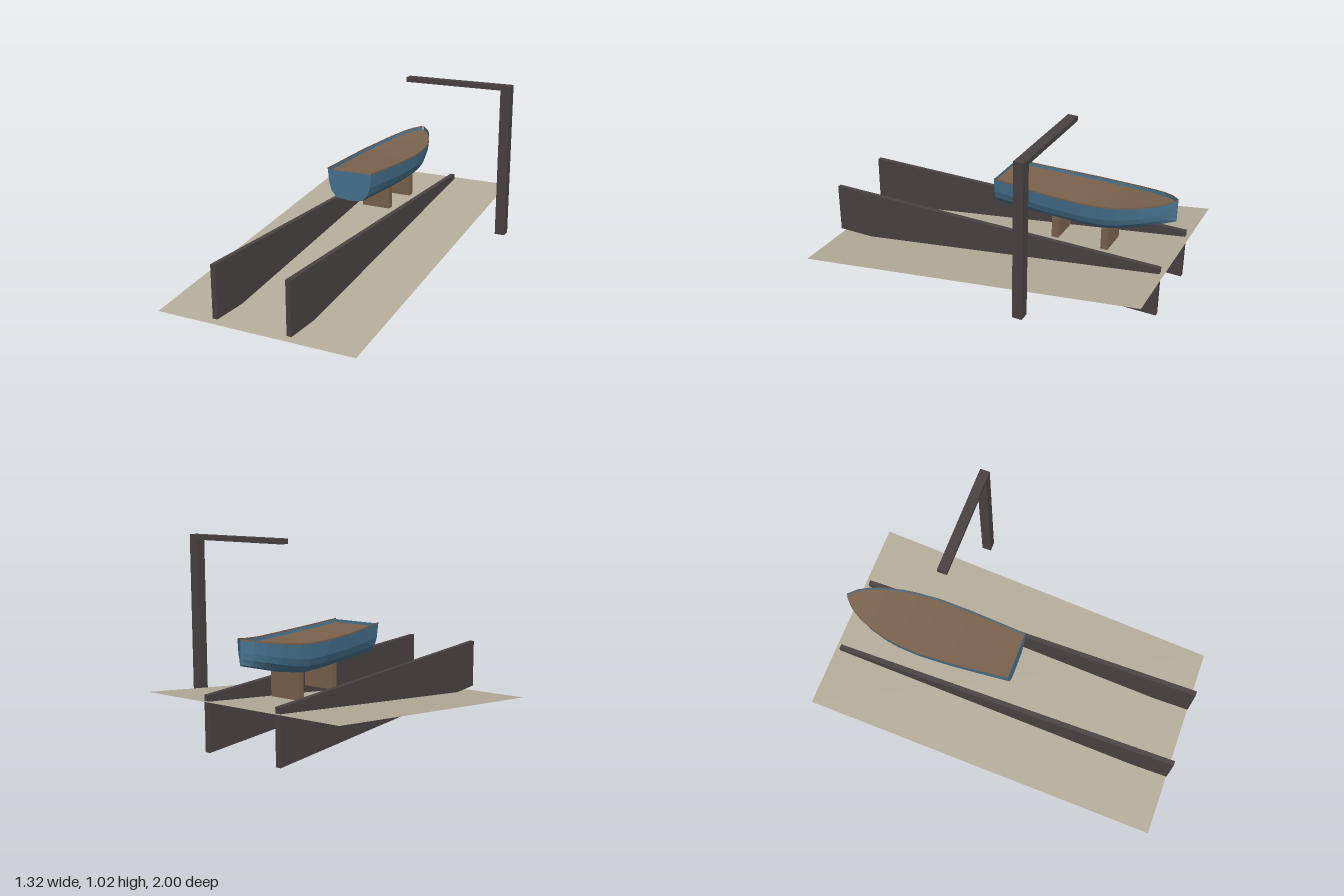
import * as THREE from 'three';

const mat = (name, color, extra = {}) => new THREE.MeshStandardMaterial({ name, color, ...extra });

// Grid of points [row][column] -> flat-shaded sheet
function sheet(rows) {
  const pos = [], index = [], n = rows[0].length;
  rows.forEach(row => row.forEach(p => pos.push(...p)));
  for (let i = 0; i < rows.length - 1; i++) {
    for (let j = 0; j < n - 1; j++) {
      const a = i * n + j, b = a + 1, c = a + n, d = c + 1;
      index.push(a, c, b, b, c, d);
    }
  }
  const g = new THREE.BufferGeometry();
  g.setAttribute('position', new THREE.Float32BufferAttribute(pos, 3));
  g.setIndex(index);
  const flat = g.toNonIndexed();
  flat.computeVertexNormals();
  return flat;
}

export function createModel() {
  const group = new THREE.Group();
  const open = { side: THREE.DoubleSide, flatShading: true };
  const concrete = mat('concrete', 0xb5ac9a, open);
  const darkSteel = mat('darkSteel', 0x4a4242);
  const wood = mat('wood', 0x7a624c, open);
  const hullBlue = mat('hullBlue', 0x477390, open);

  const add = (name, geometry, material, parent = group) => {
    const m = new THREE.Mesh(geometry, material);
    m.name = name;
    parent.add(m);
    return m;
  };
  // Box given by its two extreme corners
  const box = (name, material, [x0, y0, z0], [x1, y1, z1]) =>
    add(name, new THREE.BoxGeometry(x1 - x0, y1 - y0, z1 - z0), material)
      .position.set((x0 + x1) / 2, (y0 + y1) / 2, (z0 + z1) / 2);

  // Sloping slipway: a thin open sheet
  add('slipway', sheet([
    [[-0.66, 0, 1], [0.463, 0, 1]],
    [[-0.66, 0.285, -1], [0.463, 0.285, -1]],
  ]), concrete);

  // Level rails through the slipway
  for (const x of [-0.311, 0.11]) {
    box('rail', darkSteel, [x - 0.0135, 0.03, -0.975], [x + 0.0135, 0.312, 1]);
  }

  // Hoist post and arm
  box('hoistPost', darkSteel, [0.602, 0.17, -0.465], [0.657, 0.99, -0.412]);
  box('hoistArm', darkSteel, [0.042, 0.99, -0.465], [0.657, 1.017, -0.412]);

  // Cradle blocks under the keel
  for (const z of [-0.335, -0.62]) {
    box('cradleBlock', wood, [-0.185, 0.255, z - 0.02], [-0.016, 0.392, z + 0.02]);
  }

  // Boat stations: z, half beam, sheer height, keel height
  const stations = [
    [0.013, 0.135, 0.557, 0.384],
    [-0.15, 0.149, 0.551, 0.384],
    [-0.32, 0.162, 0.547, 0.384],
    [-0.5, 0.168, 0.546, 0.384],
    [-0.62, 0.16, 0.549, 0.386],
    [-0.7, 0.148, 0.555, 0.4],
    [-0.8, 0.12, 0.568, 0.427],
    [-0.88, 0.084, 0.583, 0.449],
    [-0.93, 0.052, 0.592, 0.463],
    [-0.975, 0.003, 0.602, 0.475],
  ];
  // Half section: fraction of beam, fraction of height
  const section = [[1, 1], [0.93, 0.52], [0.83, 0.27], [0.6, 0.05], [0, 0]];
  const full = [...section.map(([w, h]) => [-w, h]), ...section.slice(0, -1).reverse()];
  const cap = 0.008, deckDrop = 0.024;

  const boat = new THREE.Group();
  boat.name = 'boat';
  boat.position.x = -0.1;
  group.add(boat);

  const hullRows = stations.map(([z, b, top, keel]) =>
    full.map(([w, h]) => [w * b, keel + (top - cap - keel) * h, z]));
  add('hull', sheet(hullRows), hullBlue, boat);

  // Flat stern
  const outline = new THREE.Shape(hullRows[0].map(([x, y]) => new THREE.Vector2(x, y)));
  add('transom', new THREE.ShapeGeometry(outline), hullBlue, boat).position.z = stations[0][0];

  // Deck set below the sheer
  add('deck', sheet(stations.map(([z, b, top]) =>
    [[-b * 0.985, top - deckDrop, z], [b * 0.985, top - deckDrop, z]])), wood, boat);

  // Thin wooden gunwales along the top edges
  for (const s of [-1, 1]) {
    add('gunwale', sheet(stations.map(([z, b, top]) =>
      [[s * b, top - cap, z], [s * b, top, z]])), wood, boat);
  }
  return group;
}
